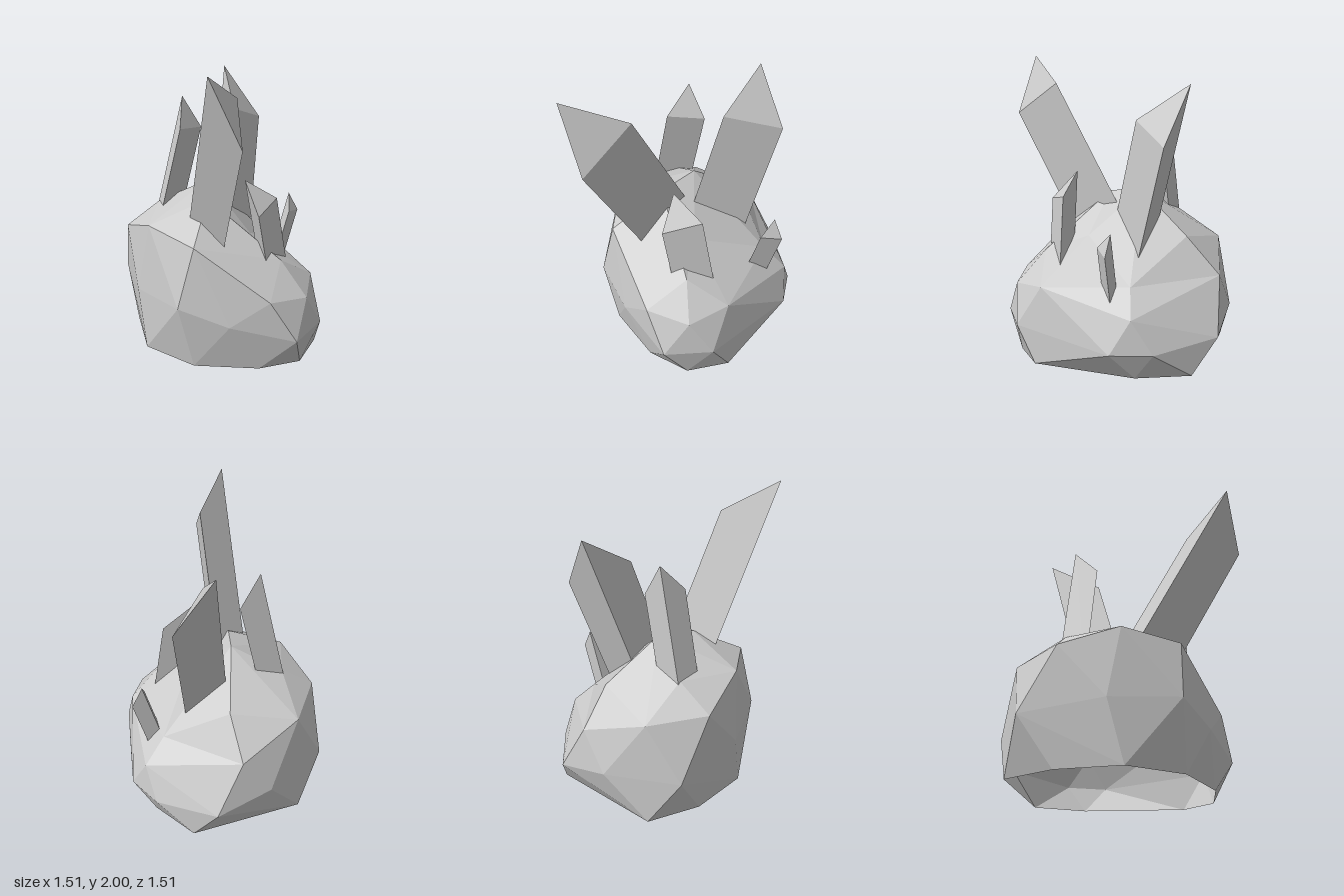
import * as THREE from 'three';
import { ConvexGeometry } from 'three/addons/geometries/ConvexGeometry.js';

const material = new THREE.MeshStandardMaterial({
  color: 0xcccccc, flatShading: true, side: THREE.DoubleSide,
});

// Faceted shell wrapped around a few corner points
function hull(points) {
  return new ConvexGeometry(points.map((p) => new THREE.Vector3(...p)));
}

function addPart(group, name, geometry) {
  const mesh = new THREE.Mesh(geometry, material);
  mesh.name = name;
  group.add(mesh);
}

// Three-sided shard: slanted tip triangle swept along its axis into the rock
function crystal(tip, axis) {
  const root = tip.map((p) => p.map((v, i) => v + axis[i]));
  return hull([...tip, ...root]);
}

// Boulder shell: hull without its floor, with some corners pushed down into a hollow
function boulder(points, hollow) {
  const source = hull([...points, ...hollow.map((h) => h.corner)]).attributes.position;
  const kept = [];
  for (let i = 0; i < source.count; i += 3) {
    const face = [0, 1, 2].map((k) => new THREE.Vector3().fromBufferAttribute(source, i + k));
    if (face.every((v) => v.y < 0.03)) continue;
    for (const v of face) {
      const dent = hollow.find((h) => v.distanceTo(new THREE.Vector3(...h.corner)) < 0.001);
      if (dent) v.y -= dent.drop;
      kept.push(v);
    }
  }
  const geometry = new THREE.BufferGeometry().setFromPoints(kept);
  geometry.computeVertexNormals();
  return geometry;
}

export function createModel() {
  const model = new THREE.Group();

  // Boulder, listed in rings from the ground up
  const foot = [
    [-0.72, 0.02, -0.1], [-0.56, 0.02, 0.24], [-0.25, 0.02, 0.52], [0.16, 0.02, 0.53],
    [0.53, 0.015, 0.31], [0.7, 0.002, 0.06], [0.66, 0.01, -0.23], [0.105, 0.02, -0.65],
    [-0.25, 0.02, -0.715],
  ];
  const belly = [
    [-0.755, 0.36, 0.12], [-0.345, 0.425, 0.48], [0.1, 0.46, 0.617], [0.4, 0.35, 0.47],
    [0.755, 0.245, 0.22], [0.755, 0.245, -0.11], [0.28, 0.2, -0.675], [0.02, 0.2, -0.755],
    [-0.43, 0.25, -0.7], [-0.65, 0.35, -0.39],
  ];
  const shoulder = [
    [-0.68, 0.755, -0.11], [-0.585, 0.78, 0.29], [-0.24, 0.91, 0.47], [0.165, 0.865, 0.525],
    [0.61, 0.525, 0.32], [0.725, 0.485, 0.05], [0.61, 0.525, -0.22], [0.145, 0.415, -0.69],
    [-0.51, 0.6, -0.525],
  ];
  const crown = [
    [-0.13, 1.108, -0.05], [0.03, 1.065, 0.18], [0.525, 0.7, 0.05],
    [-0.33, 0.84, -0.39], [-0.44, 0.94, 0.1],
  ];
  // Hollow behind the crown ridge
  const hollow = [
    { corner: [0.24, 0.92, -0.025], drop: 0.12 },
    { corner: [0.1, 0.66, -0.535], drop: 0.085 },
  ];
  addPart(model, 'rock', boulder([...foot, ...belly, ...shoulder, ...crown], hollow));

  // Crystals growing out of the boulder
  addPart(model, 'frontCrystal', crystal(
    [[0.44, 2, 0.755], [0.595, 1.59, 0.645], [0.37, 1.81, 0.355]], [-0.5, -1.16, -0.475]));
  addPart(model, 'backCrystal', crystal(
    [[-0.295, 1.825, -0.5], [-0.03, 1.59, -0.23], [-0.075, 1.455, -0.635]], [0.1, -0.9, 0.28]));
  addPart(model, 'rightCrystal', crystal(
    [[-0.325, 1.68, -0.03], [-0.23, 1.49, 0.125], [-0.24, 1.455, -0.13]], [-0.15, -0.85, 0.135]));
  addPart(model, 'leftCrystal', crystal(
    [[0.28, 1.225, 0.115], [0.44, 1.03, 0.2], [0.42, 1.08, -0.06]], [0.045, -0.48, -0.08]));
  addPart(model, 'smallBackCrystal', crystal(
    [[0.235, 0.935, -0.565], [0.295, 0.83, -0.465], [0.285, 0.8, -0.615]], [-0.06, -0.36, 0.085]));
  return model;
}
